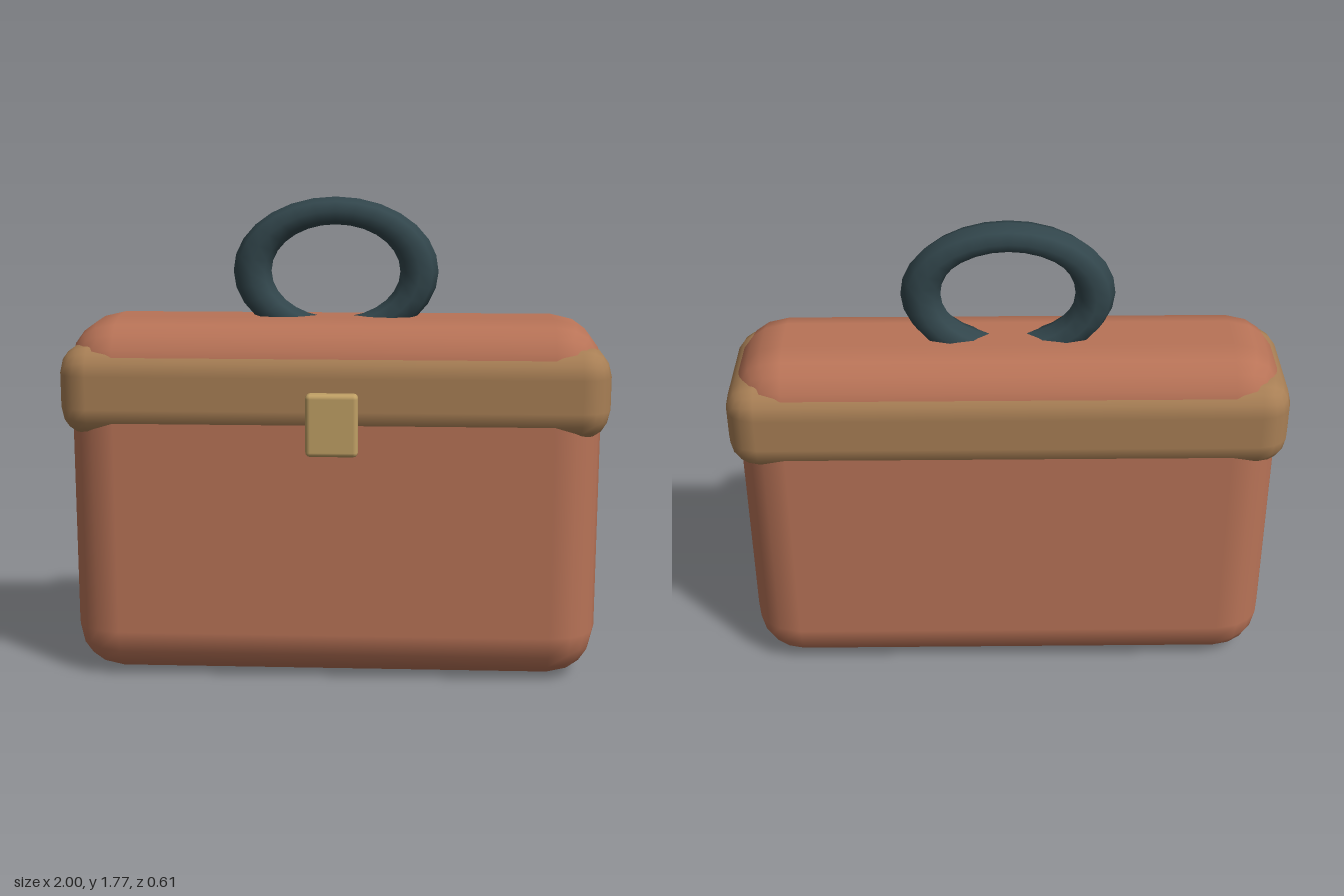
import * as THREE from 'three';
import { RoundedBoxGeometry } from 'three/addons/geometries/RoundedBoxGeometry.js';

const Z = -0.033; // centre plane of the case; the clasp stands out in front

function part(name, geometry, color, x, y, z) {
  const mesh = new THREE.Mesh(geometry, new THREE.MeshStandardMaterial({ color }));
  mesh.name = name;
  mesh.position.set(x, y, z);
  return mesh;
}

export function createModel() {
  const group = new THREE.Group();
  group.name = 'case';

  // Softly rounded main case
  group.add(part('body', new RoundedBoxGeometry(1.95, 1.335, 0.52, 2, 0.18), 0xb87357, 0, 0.6675, Z));

  // Slightly wider band around the lid
  group.add(part('lidBand', new RoundedBoxGeometry(2, 0.34, 0.545, 2, 0.11), 0xa87f55, 0, 1.08, Z));

  // Small plate floating just in front of the band
  group.add(part('clasp', new RoundedBoxGeometry(0.187, 0.227, 0.056, 2, 0.017), 0xc0a065, 0, 0.982, 0.277));

  // Oval ring handle, its lower part sunk into the lid
  const ring = new THREE.TorusGeometry(0.307, 0.07, 8, 28);
  ring.scale(1, 0.72, 1);
  group.add(part('handle', ring, 0x32464c, 0, 1.498, Z));

  return group;
}
